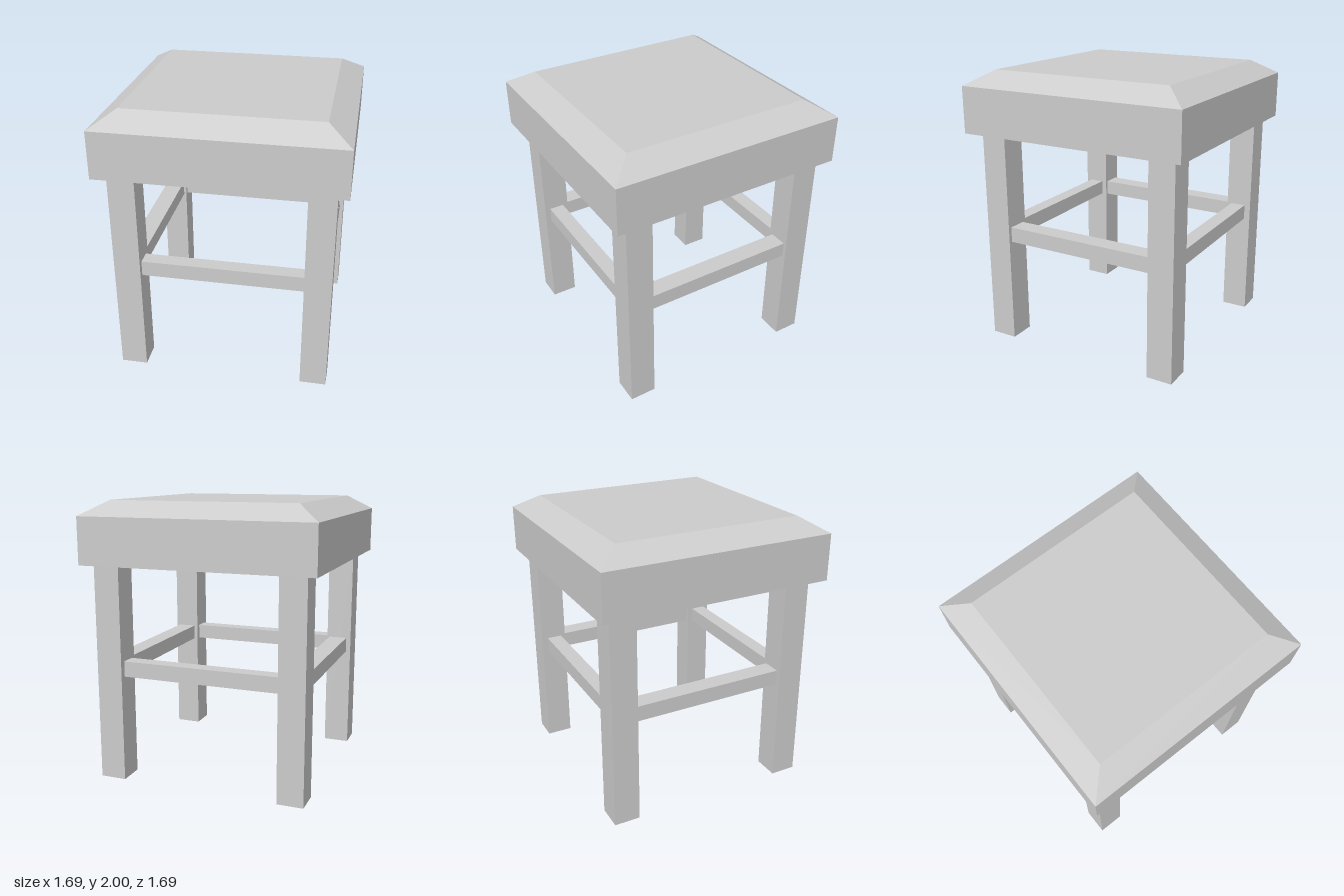
import * as THREE from 'three';

const material = new THREE.MeshStandardMaterial({ color: 0xcccccc, flatShading: true });

// Box given by its lower and upper limits on each axis
function box(name, [x0, x1], [y0, y1], [z0, z1]) {
  const mesh = new THREE.Mesh(new THREE.BoxGeometry(x1 - x0, y1 - y0, z1 - z0), material);
  mesh.position.set((x0 + x1) / 2, (y0 + y1) / 2, (z0 + z1) / 2);
  mesh.name = name;
  return mesh;
}

// Square seat block whose upper rim slopes in to a smaller flat top
function createSeat(half, topHalf, bottomY, rimY, topY) {
  const geometry = new THREE.BoxGeometry(2 * half, topY - bottomY, 2 * half, 1, 2, 1);
  geometry.translate(0, (bottomY + topY) / 2, 0);
  const p = geometry.attributes.position;
  const middle = (bottomY + topY) / 2;
  for (let i = 0; i < p.count; i++) {
    const y = p.getY(i);
    if (y > middle + 0.01) {
      p.setX(i, Math.sign(p.getX(i)) * topHalf);
      p.setZ(i, Math.sign(p.getZ(i)) * topHalf);
    } else if (y > middle - 0.01) {
      p.setY(i, rimY);
    }
  }
  geometry.computeVertexNormals();
  const seat = new THREE.Mesh(geometry, material);
  seat.name = 'seat';
  return seat;
}

export function createModel() {
  const stool = new THREE.Group();
  stool.name = 'stool';
  stool.add(createSeat(0.843, 0.675, 1.56, 1.895, 2));

  // Four square legs; the pairs sit slightly towards the back
  const legX = { left: [0.578, 0.767], right: [-0.765, -0.576] };
  const legZ = { front: [0.557, 0.747], back: [-0.77, -0.581] };
  for (const [row, z] of Object.entries(legZ)) {
    for (const [side, x] of Object.entries(legX)) {
      stool.add(box(`${row}${side === 'left' ? 'Left' : 'Right'}Leg`, x, [0, 1.56], z));
    }
  }

  // Rungs joining neighbouring legs
  const rungY = [0.763, 0.875];
  const acrossX = [legX.right[1], legX.left[0]];
  const acrossZ = [legZ.back[1], legZ.front[0]];
  stool.add(box('frontRung', acrossX, rungY, [0.597, 0.707]));
  stool.add(box('backRung', acrossX, rungY, [-0.725, -0.615]));
  stool.add(box('leftRung', [0.605, 0.74], rungY, acrossZ));
  stool.add(box('rightRung', [-0.73, -0.595], rungY, acrossZ));

  return stool;
}
